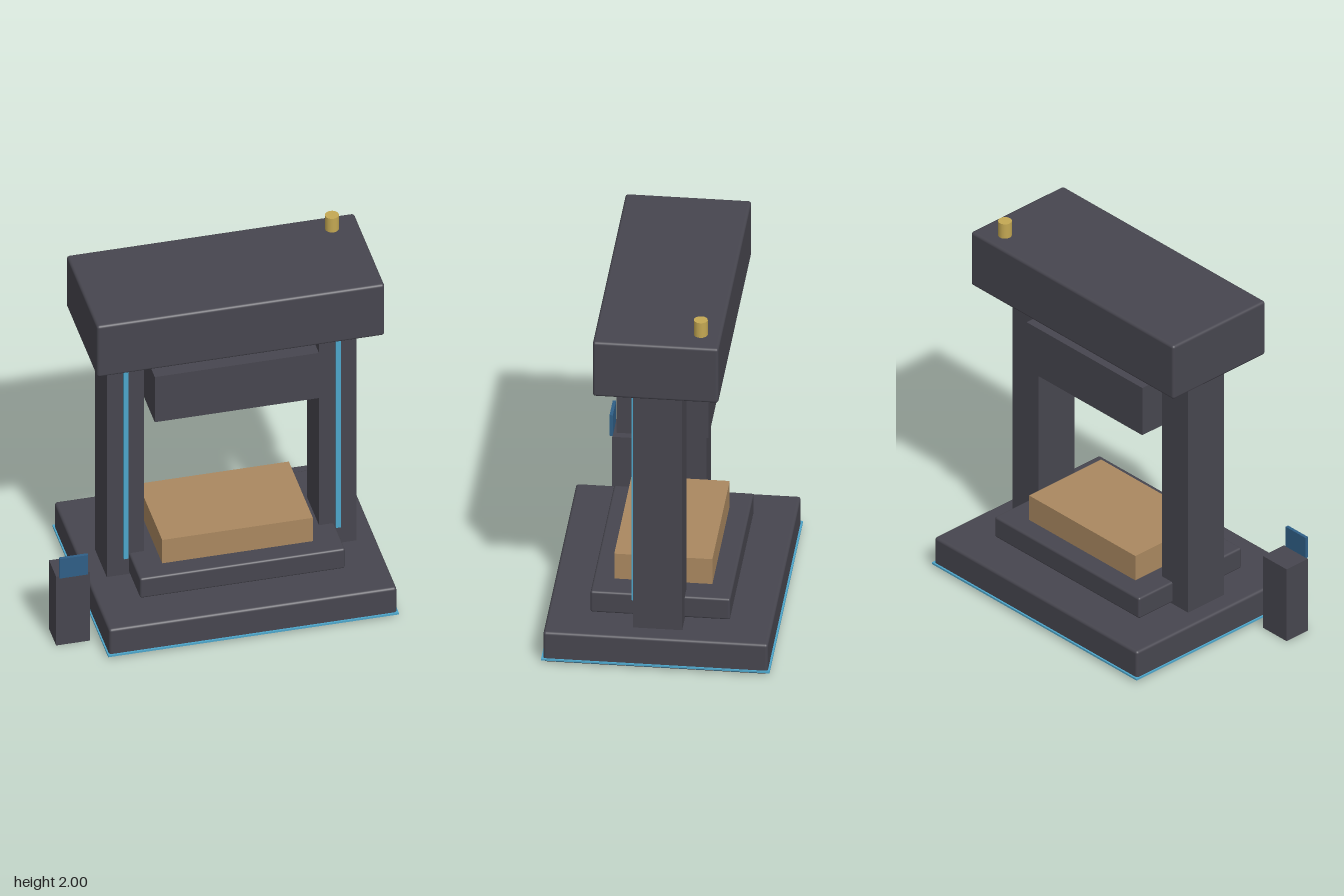
import * as THREE from 'three';
import { RoundedBoxGeometry } from 'three/addons/geometries/RoundedBoxGeometry.js';

const material = (name, color) => {
  const m = new THREE.MeshStandardMaterial({ color });
  m.name = name;
  return m;
};

export function createModel() {
  const group = new THREE.Group();
  group.name = 'press';

  const steel = material('darkSteel', 0x47464f);
  const glow = material('lightBlue', 0x4da6cb);
  const wood = material('tan', 0xaa8860);
  const display = material('screenBlue', 0x2f5f87);
  const brass = material('brass', 0xc4a853);

  // Box from its extents on each axis; a radius rounds the edges
  const box = (name, mat, [x0, x1], [y0, y1], [z0, z1], radius = 0) => {
    const size = [x1 - x0, y1 - y0, z1 - z0];
    const geometry = radius
      ? new RoundedBoxGeometry(...size, 3, radius)
      : new THREE.BoxGeometry(...size);
    const mesh = new THREE.Mesh(geometry, mat);
    mesh.name = name;
    mesh.position.set((x0 + x1) / 2, (y0 + y1) / 2, (z0 + z1) / 2);
    group.add(mesh);
    return mesh;
  };

  // Base with its light strip, and the crown on top
  box('base', steel, [-0.648, 0.866], [0.004, 0.18], [-0.577, 0.577], 0.015);
  box('baseLightStrip', glow, [-0.656, 0.874], [0.018, 0.028], [-0.587, 0.587]);
  box('crown', steel, [-0.648, 0.866], [1.593, 1.914], [-0.323, 0.323], 0.015);

  // Columns with light strips on their front faces
  for (const [side, x] of [['right', -0.45], ['left', 0.667]]) {
    box(side + 'Column', steel, [x - 0.098, x + 0.098], [0.17, 1.6], [-0.126, 0.126]);
    box(side + 'ColumnLight', glow, [x - 0.0125, x + 0.0125], [0.29, 1.52], [0.12, 0.144]);
  }

  // Ram, bed and workpiece
  box('ram', steel, [-0.323, 0.541], [1.195, 1.48], [-0.236, 0.236]);
  box('bed', steel, [-0.431, 0.649], [0.187, 0.31], [-0.359, 0.359], 0.012);
  box('workpiece', wood, [-0.288, 0.505], [0.31, 0.457], [-0.252, 0.252]);

  // Control stand with its screen
  box('controlStand', steel, [-0.883, -0.704], [0, 0.433], [0.25, 0.399]);
  box('controlScreen', display, [-0.868, -0.718], [0.43, 0.552], [0.397, 0.414]);

  // Valve on the crown
  const valve = new THREE.Mesh(new THREE.CylinderGeometry(0.036, 0.036, 0.09, 16), brass);
  valve.name = 'valve';
  valve.position.set(0.723, 1.955, -0.217);
  group.add(valve);

  return group;
}
